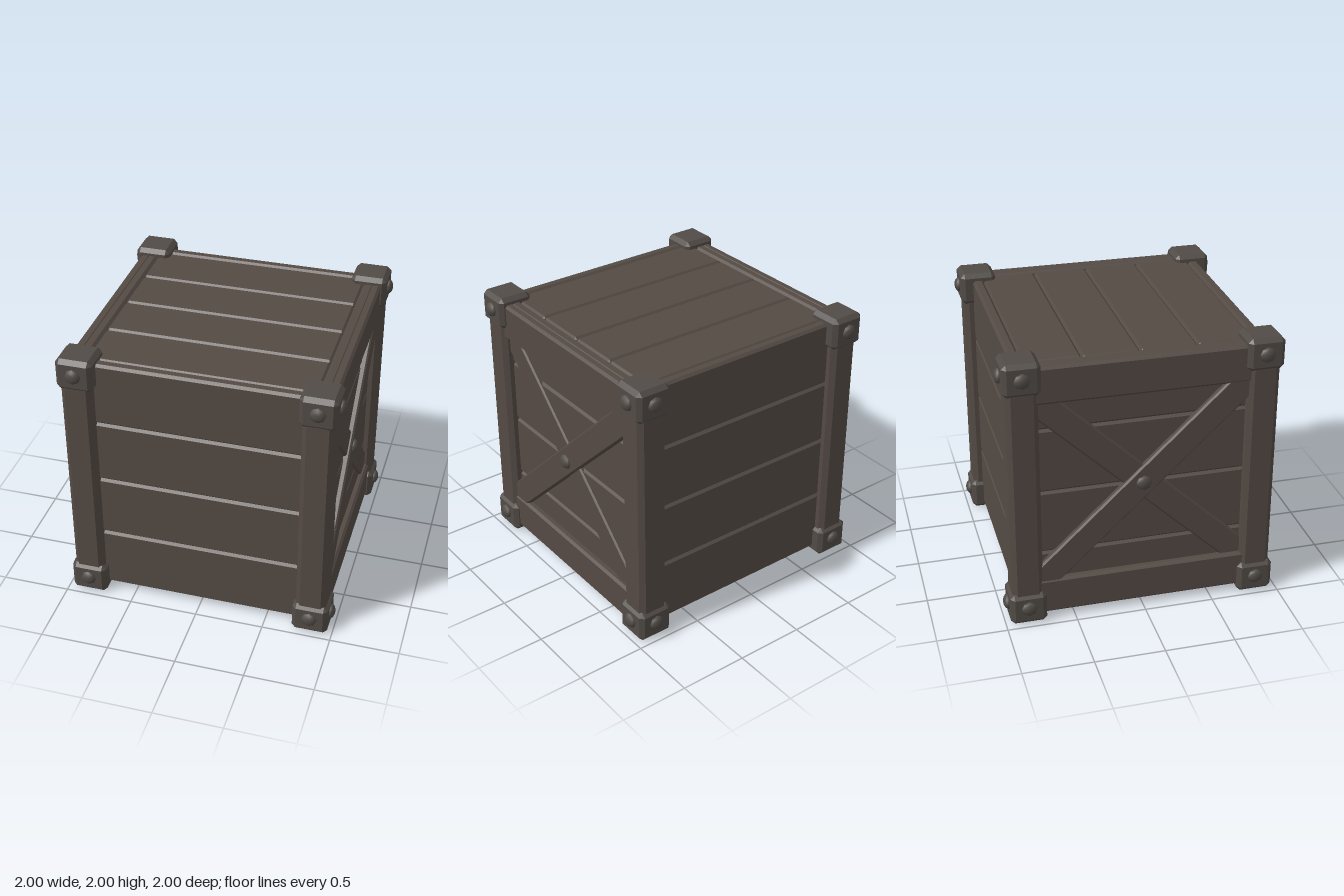
import * as THREE from 'three';
import { ConvexGeometry } from 'three/addons/geometries/ConvexGeometry.js';

// Box with bevelled edges and corners, c = bevel width
function bevelBox(w, h, d, c) {
  const pts = [];
  for (const sx of [-1, 1]) for (const sy of [-1, 1]) for (const sz of [-1, 1]) {
    for (let full = 0; full < 3; full++) {
      pts.push(new THREE.Vector3(
        sx * (w / 2 - (full === 0 ? 0 : c)),
        sy * (h / 2 - (full === 1 ? 0 : c)),
        sz * (d / 2 - (full === 2 ? 0 : c))));
    }
  }
  return new ConvexGeometry(pts);
}

export function createModel() {
  const wood = new THREE.MeshStandardMaterial({ color: 0x544a44 });
  wood.name = 'dark wood';
  const metal = new THREE.MeshStandardMaterial({ color: 0x514b46 });
  metal.name = 'dark metal';

  const crate = new THREE.Group();
  crate.name = 'crate';

  function add(parent, name, geometry, material, x, y, z) {
    const mesh = new THREE.Mesh(geometry, material);
    mesh.name = name;
    mesh.position.set(x, y, z);
    parent.add(mesh);
    return mesh;
  }

  const bottom = 0.045, top = 1.95;
  const plankH = (top - bottom) / 4;
  const post = 0.835;

  // Shared geometries
  const wallPlank = bevelBox(1.62, plankH, 0.08, 0.018);
  const topPlank = bevelBox(1.6, 0.08, 0.4, 0.018);
  const railGeo = bevelBox(0.075, 0.27, 1.52, 0.018);
  const postGeo = bevelBox(0.22, 1.7, 0.22, 0.034);
  const blockGeo = bevelBox(0.26, 0.235, 0.26, 0.03);
  const braceGeo = bevelBox(0.06, 0.195, 2.08, 0.012);
  const rivetGeo = new THREE.SphereGeometry(0.056, 8, 4, 0, Math.PI * 2, 0, Math.PI / 2);
  rivetGeo.scale(1, 0.64, 1);
  rivetGeo.rotateX(Math.PI / 2);

  // Top planks and floor
  for (let i = 0; i < 4; i++) {
    add(crate, 'topPlank', topPlank, wood, 0, top - 0.045, -0.6 + i * 0.4);
  }
  add(crate, 'floor', new THREE.BoxGeometry(1.66, 0.04, 1.66), wood, 0, 0.075, 0);

  // Two opposite halves, each with a plain wall and a braced wall
  for (let s = 0; s < 2; s++) {
    const half = new THREE.Group();
    half.name = s ? 'backHalf' : 'frontHalf';
    half.rotation.y = s * Math.PI;
    crate.add(half);

    for (let i = 0; i < 4; i++) {
      const y = bottom + plankH * (i + 0.5);
      add(half, 'wallPlank', wallPlank, wood, 0, y, 0.837);
      add(half, 'sidePlank', wallPlank, wood, 0.837, y, 0).rotation.y = Math.PI / 2;
    }

    // Rails and crossed braces
    for (const y of [0.182, 1.815]) add(half, 'rail', railGeo, wood, 0.889, y, 0);
    add(half, 'rearBrace', braceGeo, wood, 0.865, 1, 0).rotation.x = -0.76;
    add(half, 'frontBrace', braceGeo, wood, 0.888, 1, 0).rotation.x = 0.76;
    add(half, 'braceRivet', rivetGeo, metal, 0.917, 1, 0).rotation.y = Math.PI / 2;
  }

  // Corner posts with capped ends and rivets
  for (const sx of [-1, 1]) for (const sz of [-1, 1]) {
    add(crate, 'cornerPost', postGeo, wood, sx * post, 1, sz * post);
    for (const [y, ry] of [[0.1175, 0.128], [1.8825, 1.887]]) {
      add(crate, 'cornerBlock', blockGeo, metal, sx * post, y, sz * post);
      add(crate, 'blockRivet', rivetGeo, metal, sx * post, ry, sz * 0.964)
        .rotation.y = sz > 0 ? 0 : Math.PI;
      add(crate, 'blockRivet', rivetGeo, metal, sx * 0.964, ry, sz * post)
        .rotation.y = sx * Math.PI / 2;
    }
  }
  return crate;
}
